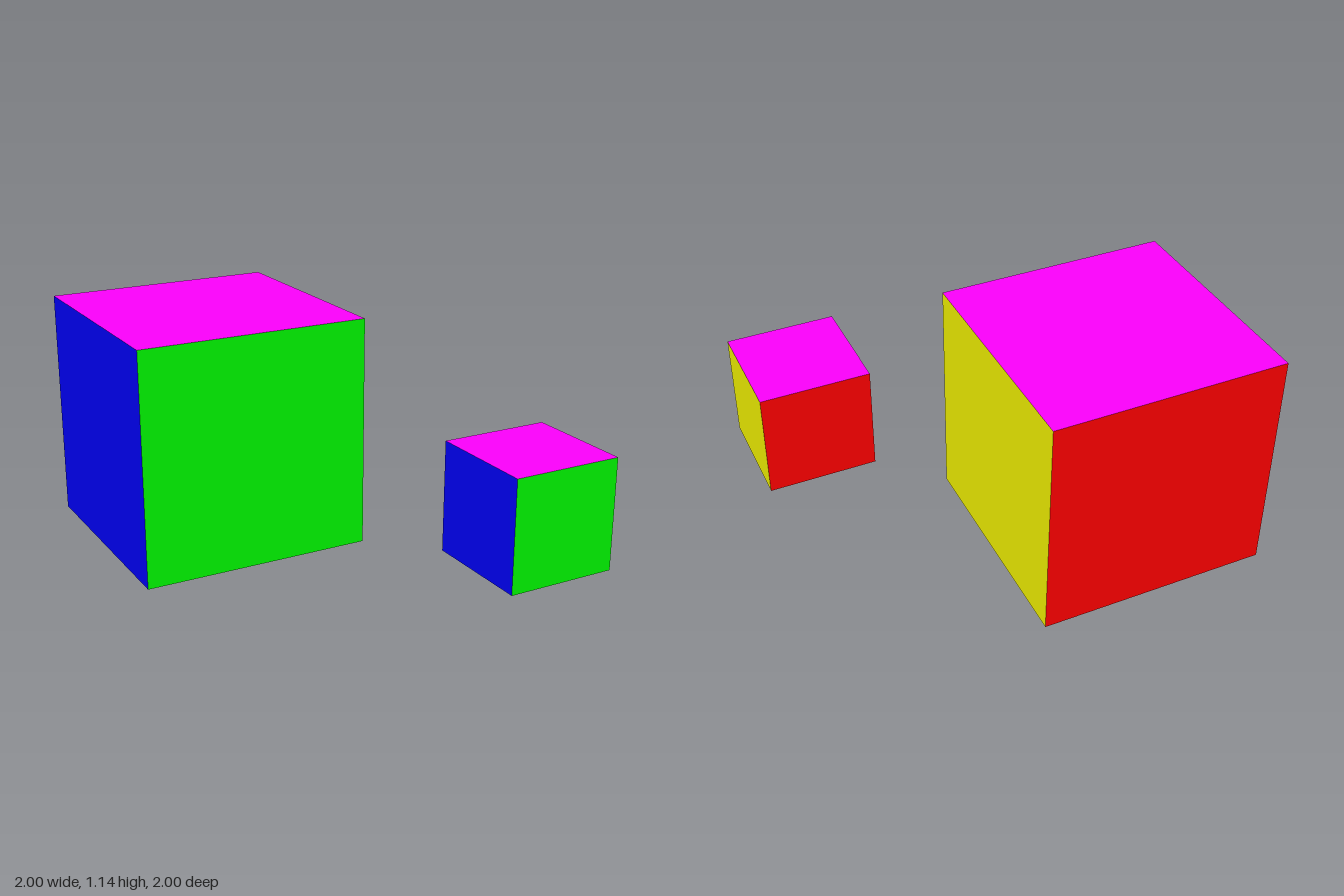
import * as THREE from 'three';

// One colour per side, in box order: +x, -x, +y, -y, +z, -z
const SIDE_COLORS = [0xffff00, 0x0000ff, 0xff00ff, 0x00ffff, 0x00ff00, 0xff0000];

export function createModel() {
  const model = new THREE.Group();
  model.name = 'colouredCubes';

  const materials = SIDE_COLORS.map((color) => new THREE.MeshStandardMaterial({ color }));

  // Cube standing on the ground, centred at (x, z)
  function addCube(name, size, x, z) {
    const cube = new THREE.Mesh(new THREE.BoxGeometry(size, size, size), materials);
    cube.name = name;
    cube.position.set(x, size / 2, z);
    model.add(cube);
  }

  // Large cube at the back right, half-size cube at the front left
  const unit = 2 / 7;
  addCube('largeCube', 4 * unit, -1 + 2 * unit, -1 + 2 * unit);
  addCube('smallCube', 2 * unit, 1 - unit, 1 - unit);

  return model;
}
